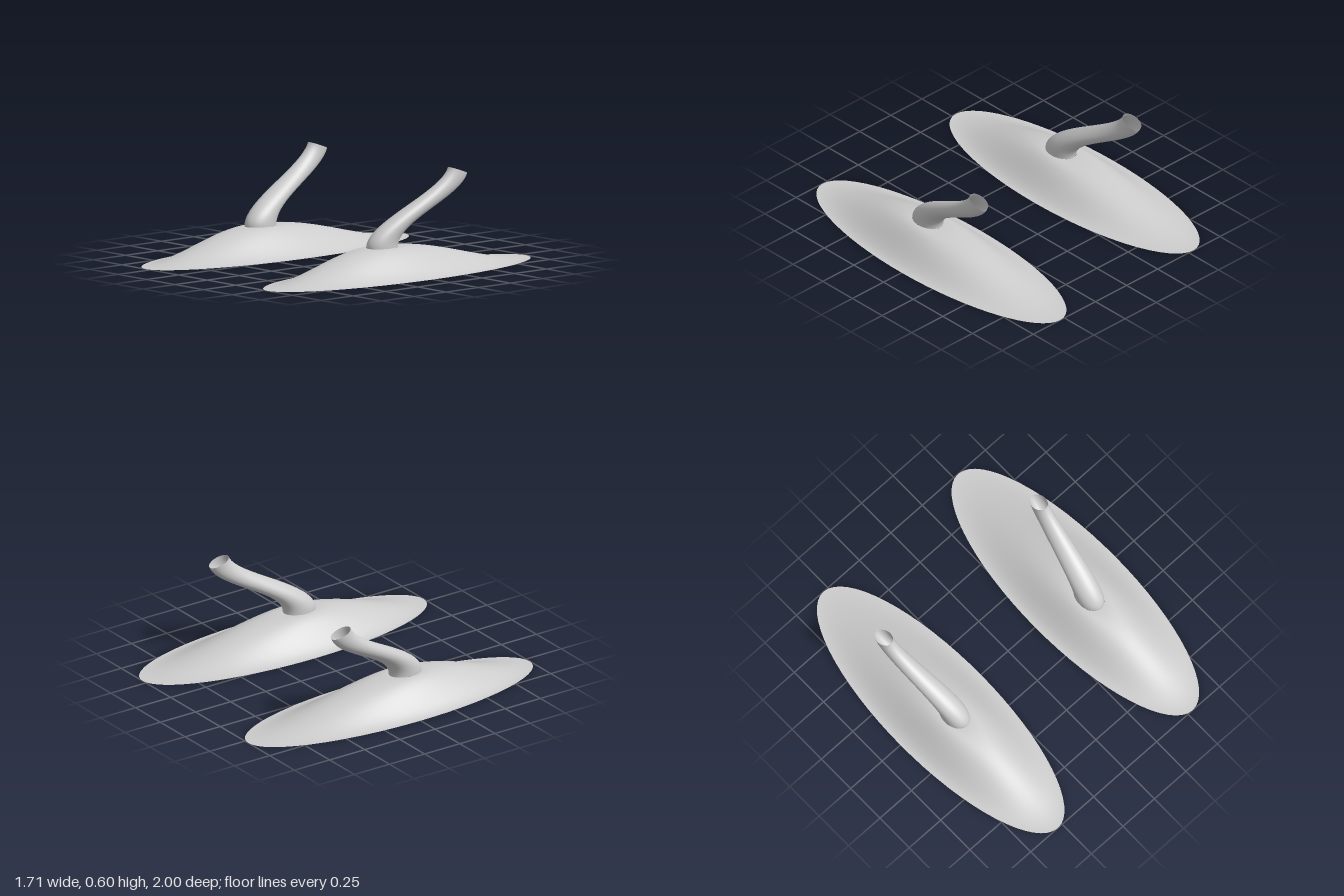
import * as THREE from 'three';
import { ParametricGeometry } from 'three/addons/geometries/ParametricGeometry.js';

const material = new THREE.MeshStandardMaterial({ color: 0xcccccc, side: THREE.DoubleSide });

// Elliptical ring: centre c, radius rx across, radius rz along a direction tilted by `tilt` about x
const rings = {
  rim: { c: [0.535, 0, 0], rx: 0.32, rz: 1, tilt: 0 },
  collar: { c: [0.535, 0.165, 0.115], rx: 0.075, rz: 0.105, tilt: 0 },
  mouth: { c: [0.615, 0.575, -0.4], rx: 0.046, rz: 0.067, tilt: 0.35 },
};

function ringPoint({ c, rx, rz, tilt }, a) {
  const s = rz * Math.sin(a);
  return new THREE.Vector3(c[0] + rx * Math.cos(a), c[1] + s * Math.sin(tilt), c[2] + s * Math.cos(tilt));
}

// Sweeps from one ring to the next; side is +1 for left, -1 for right
function loft(name, side, point, slices, stacks) {
  const geometry = new ParametricGeometry((u, v, target) => {
    target.copy(point(-side * u * Math.PI * 2, v));
    target.x *= side;
  }, slices, stacks);
  const mesh = new THREE.Mesh(geometry, material);
  mesh.name = name;
  return mesh;
}

// Shallow S-curved skirt from the ground rim up to the collar
function footPoint(a, v) {
  const p = ringPoint(rings.rim, a).lerp(ringPoint(rings.collar, a), v);
  p.y = rings.collar.c[1] * v * v * (3 - 2 * v);
  return p;
}

// Bent neck: leaves the collar vertically and meets the tilted mouth square on
function neckPoint(a, t) {
  const pull = 0.45, { tilt } = rings.mouth;
  const start = new THREE.Vector3(0, pull, 0);
  const end = new THREE.Vector3(0, pull * Math.cos(tilt), -pull * Math.sin(tilt));
  const t2 = t * t, t3 = t2 * t;
  return ringPoint(rings.collar, a).multiplyScalar(2 * t3 - 3 * t2 + 1)
    .addScaledVector(ringPoint(rings.mouth, a), 3 * t2 - 2 * t3)
    .addScaledVector(start, t3 - 2 * t2 + t)
    .addScaledVector(end, t3 - t2);
}

export function createModel() {
  const model = new THREE.Group();
  model.name = 'pairOfFeet';
  for (const [label, side] of [['left', 1], ['right', -1]]) {
    const leg = new THREE.Group();
    leg.name = label + 'Leg';
    leg.add(loft(label + 'Foot', side, footPoint, 64, 24));
    leg.add(loft(label + 'Neck', side, neckPoint, 48, 24));
    model.add(leg);
  }
  return model;
}
